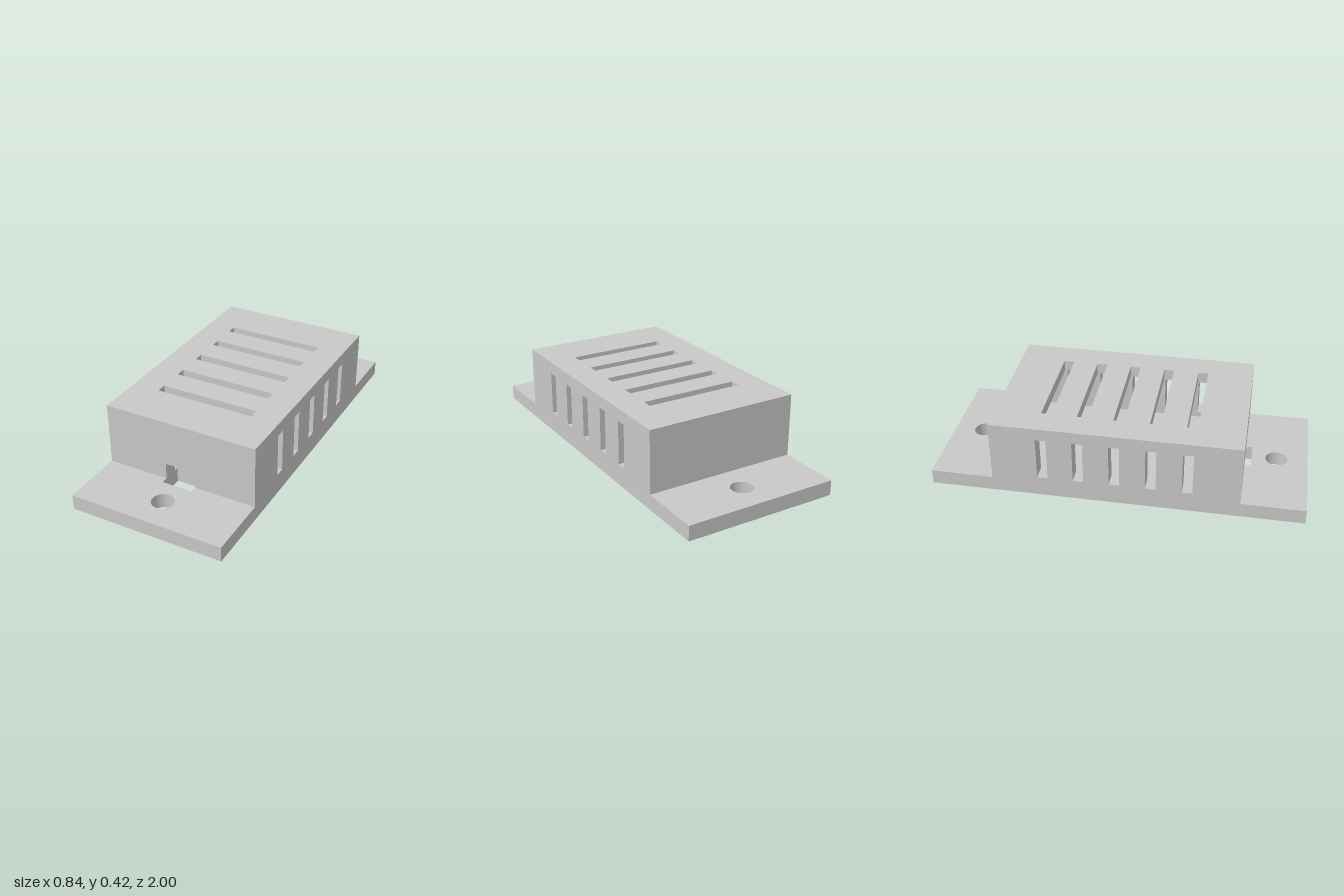
import * as THREE from 'three';

const W = 0.843, H = 0.422;             // width, total height
const T = 0.082, LID = 0.062;           // wall and lid thickness
const BODY = 1.32;                      // length of the raised cover
const SLOTS = [-2, -1, 0, 1, 2].map(i => i * 0.192);

// Adds a closed rectangle centred on (x, y) to a shape or path
function rect(p, x, y, w, h) {
  p.moveTo(x - w / 2, y - h / 2);
  p.lineTo(x + w / 2, y - h / 2);
  p.lineTo(x + w / 2, y + h / 2);
  p.lineTo(x - w / 2, y + h / 2);
  p.closePath();
  return p;
}

// Flat panel with holes, extruded to the given thickness
function panel(name, shape, material, depth = T) {
  const geometry = new THREE.ExtrudeGeometry(shape, { depth, bevelEnabled: false, curveSegments: 24 });
  const mesh = new THREE.Mesh(geometry, material);
  mesh.name = name;
  return mesh;
}

export function createModel() {
  const group = new THREE.Group();
  group.name = 'ventedEnclosure';
  const grey = new THREE.MeshStandardMaterial({ color: 0xc8c8c8 });
  grey.name = 'lightGrey';

  // Base plate: two screw holes and a cable opening under the front wall
  const baseShape = rect(new THREE.Shape(), 0, 0, W, 2);
  for (const z of [-0.83, 0.83]) {
    baseShape.holes.push(new THREE.Path().absarc(0, -z, 0.059, 0, Math.PI * 2, true));
  }
  baseShape.holes.push(rect(new THREE.Path(), 0, -0.625, 0.169, 0.14));
  const base = panel('basePlate', baseShape, grey);
  base.rotation.x = -Math.PI / 2;
  group.add(base);

  // Lid with cross vents
  const lidShape = rect(new THREE.Shape(), 0, 0, W, BODY);
  for (const z of SLOTS) lidShape.holes.push(rect(new THREE.Path(), 0, -z, 0.542, 0.056));
  const lid = panel('lid', lidShape, grey, LID);
  lid.rotation.x = -Math.PI / 2;
  lid.position.y = H - LID;
  group.add(lid);

  // Side walls with upright vents
  const wallH = H - T - LID, midY = T + wallH / 2;
  for (const side of [-1, 1]) {
    const shape = rect(new THREE.Shape(), 0, midY, BODY, wallH);
    for (const z of SLOTS) shape.holes.push(rect(new THREE.Path(), -z, 0.235, 0.056, 0.24));
    const wall = panel(side > 0 ? 'leftWall' : 'rightWall', shape, grey);
    wall.rotation.y = Math.PI / 2;
    wall.position.x = side > 0 ? W / 2 - T : -W / 2;
    group.add(wall);
  }

  // Front wall with cable notch, and plain back wall
  const innerW = W - 2 * T;
  const frontShape = new THREE.Shape();
  [[-innerW / 2, T], [-0.0845, T], [-0.0845, 0.172], [0.0845, 0.172], [0.0845, T],
    [innerW / 2, T], [innerW / 2, H - LID], [-innerW / 2, H - LID]]
    .forEach(([x, y], i) => (i ? frontShape.lineTo(x, y) : frontShape.moveTo(x, y)));
  const front = panel('frontWall', frontShape, grey);
  front.position.z = BODY / 2 - T;
  const back = panel('backWall', rect(new THREE.Shape(), 0, midY, innerW, wallH), grey);
  back.position.z = -BODY / 2;
  group.add(front, back);

  return group;
}
